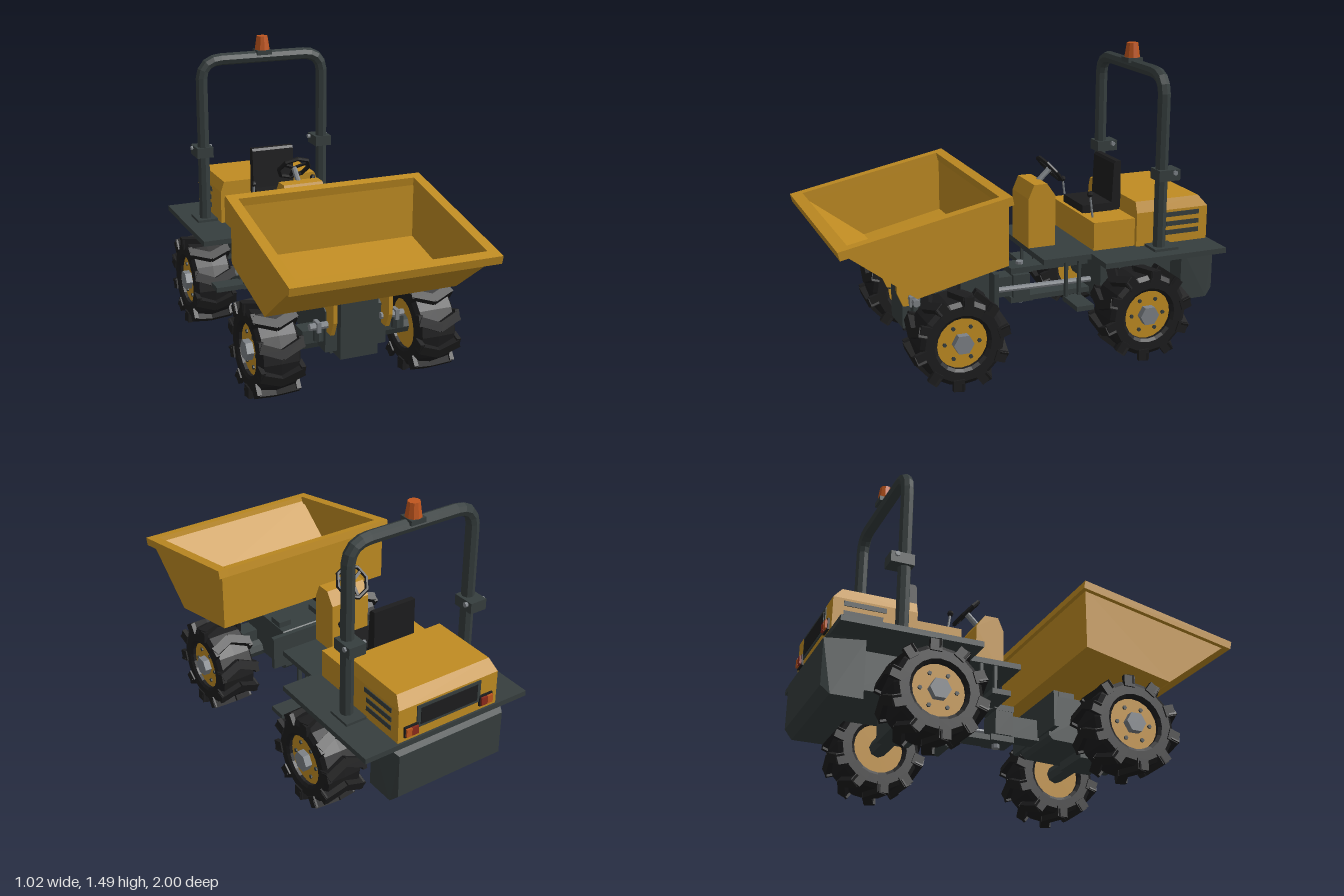
import * as THREE from 'three';

const mat = (name, color) => {
  const m = new THREE.MeshStandardMaterial({ color });
  m.name = name;
  return m;
};

export function createModel() {
  const model = new THREE.Group();
  model.name = 'siteDumper';
  const yellow = mat('yellowPaint', 0xc08c22);
  const metal = mat('darkMetal', 0x363e3e);
  const black = mat('blackRubber', 0x1d1d1e);
  const steel = mat('greySteel', 0x7c8186);
  const orange = mat('orangeBeacon', 0xc0561e);
  const red = mat('redLight', 0x8c2a1c);

  const add = (name, geo, m, parent = model) => {
    const mesh = new THREE.Mesh(geo, m);
    mesh.name = name;
    parent.add(mesh);
    return mesh;
  };
  const flat = (g) => {
    const f = g.index ? g.toNonIndexed() : g;
    f.computeVertexNormals();
    return f;
  };
  // Box given by its limits on each axis
  const box = (name, m, x0, x1, y0, y1, z0, z1) => {
    const mesh = add(name, new THREE.BoxGeometry(Math.abs(x1 - x0), y1 - y0, Math.abs(z1 - z0)), m);
    mesh.position.set((x0 + x1) / 2, (y0 + y1) / 2, (z0 + z1) / 2);
    return mesh;
  };
  // Side profile of [z, y] points extruded across x
  const profile = (name, m, pts, width, x = 0, rule) => {
    const shape = new THREE.Shape(pts.map((p) => new THREE.Vector2(...p)));
    const g = new THREE.ExtrudeGeometry(shape, { depth: width, bevelEnabled: false });
    g.translate(0, 0, -width / 2).rotateY(-Math.PI / 2);
    if (rule) {
      const p = g.attributes.position;
      for (let i = 0; i < p.count; i++) p.setX(i, rule(p.getX(i), p.getY(i), p.getZ(i)));
    }
    const mesh = add(name, flat(g), m);
    mesh.position.x = x;
    return mesh;
  };
  // Straight rod between two points
  const rod = (name, m, a, b, r, sides = 8) => {
    const A = new THREE.Vector3(...a), B = new THREE.Vector3(...b);
    const d = B.clone().sub(A);
    const mesh = add(name, flat(new THREE.CylinderGeometry(r, r, d.length(), sides)), m);
    mesh.position.copy(A).add(B).multiplyScalar(0.5);
    mesh.quaternion.setFromUnitVectors(new THREE.Vector3(0, 1, 0), d.normalize());
    return mesh;
  };
  const sides = [-1, 1];

  // Wheels: tyre, chevron lugs, rim, hub and bolts, axle along x
  const tyreProfile = [[0.125, -0.09], [0.14, -0.1], [0.185, -0.1], [0.206, -0.085], [0.21, 0],
    [0.206, 0.085], [0.185, 0.1], [0.14, 0.1], [0.125, 0.09], [0.12, 0], [0.125, -0.09]];
  const tyreGeo = flat(new THREE.LatheGeometry(tyreProfile.map((p) => new THREE.Vector2(...p)), 20)
    .rotateZ(Math.PI / 2));
  const disc = (r, w, n) => flat(new THREE.CylinderGeometry(r, r, w, n).rotateZ(Math.PI / 2));
  const rimGeo = disc(0.126, 0.15, 24), hubGeo = disc(0.05, 0.04, 6), boltGeo = disc(0.01, 0.012, 6);
  const lugGeo = new THREE.BoxGeometry(0.118, 0.044, 0.045);
  const shoulderGeo = new THREE.BoxGeometry(0.022, 0.055, 0.055);
  const wheel = (s, z) => {
    const w = new THREE.Group();
    w.name = 'wheel';
    w.position.set(s * 0.4, 0.235, z);
    w.scale.x = 1;
    model.add(w);
    add('tyre', tyreGeo, black, w);
    add('rim', rimGeo, yellow, w);
    add('hub', hubGeo, steel, w).position.x = s * 0.09;
    for (let i = 0; i < 6; i++) {
      const a = (i * Math.PI) / 3;
      add('wheelBolt', boltGeo, metal, w).position.set(s * 0.077, 0.085 * Math.sin(a), 0.085 * Math.cos(a));
    }
    for (let i = 0; i < 10; i++) {
      const ring = new THREE.Group();
      ring.name = 'treadLug';
      ring.rotation.x = (i * Math.PI) / 5;
      w.add(ring);
      for (const t of sides) {
        const lug = add('lugBar', lugGeo, black, ring);
        lug.position.set(t * 0.049, 0.21, 0.02 - 0.021);
        lug.rotation.y = t * 0.4;
        add('lugShoulder', shoulderGeo, black, ring).position.set(t * 0.097, 0.2, -0.025);
      }
    }
  };
  for (const z of [0.43, -0.53]) {
    for (const s of sides) wheel(s, z);
    rod('axle', metal, [-0.34, 0.235, z], [0.34, 0.235, z], 0.045);
    box('axleHousing', metal, -0.11, 0.11, 0.18, 0.31, z - 0.08, z + 0.08);
  }

  // Skip: folded floor, two sides and a sloping rim
  profile('skipShell', yellow, [[0.2, 0.885], [0.2, 0.58], [0.64, 0.48], [0.965, 0.725],
    [0.945, 0.74], [0.635, 0.505], [0.22, 0.598], [0.22, 0.885]], 0.95);
  for (const s of sides) {
    profile('skipSide', yellow, [[0.2, 0.885], [0.2, 0.58], [0.64, 0.48], [0.965, 0.725]], 0.02, s * 0.472);
    profile('skipSideRim', yellow, [[1, 0.75], [0.19, 0.915], [0.182, 0.875], [0.99, 0.71]], 0.05, s * 0.48);
    profile('skipBracket', yellow, [[0.64, 0.485], [0.5, 0.515], [0.5, 0.44], [0.56, 0.32], [0.61, 0.32],
      [0.64, 0.39]], 0.02, s * 0.14);
  }
  profile('skipFrontRim', yellow, [[1, 0.75], [0.945, 0.761], [0.935, 0.721], [0.99, 0.71]], 0.91);
  profile('skipBackRim', yellow, [[0.235, 0.906], [0.19, 0.915], [0.182, 0.875], [0.227, 0.866]], 0.91);

  // Front chassis with tipping pivots
  profile('frontChassis', metal, [[0.16, 0.25], [0.18, 0.23], [0.56, 0.215], [0.56, 0.42], [0.5, 0.455],
    [0.18, 0.455], [0.16, 0.435]], 0.31);
  box('frontNose', metal, -0.095, 0.095, 0.185, 0.475, 0.4, 0.6);
  box('frontChassisPlate', metal, -0.23, 0.23, 0.27, 0.45, 0.15, 0.175);
  for (const s of sides) {
    box('skipRest', metal, s * 0.08, s * 0.15, 0.45, 0.485, 0.22, 0.3);
    rod('tipPin', steel, [s * 0.12, 0.36, 0.57], [s * 0.24, 0.36, 0.57], 0.018);
    box('pinCollar', steel, s * 0.19, s * 0.21, 0.335, 0.385, 0.545, 0.595);
    rod('pinBolt', metal, [s * 0.2, 0.29, 0.57], [s * 0.2, 0.345, 0.57], 0.02, 6);
    box('pivotArm', metal, s * 0.15, s * 0.26, 0.265, 0.33, 0.45, 0.54);
  }

  // Articulated joint
  box('jointTube', metal, -0.047, 0.047, 0.255, 0.36, 0, 0.16);
  box('jointBlock', metal, -0.07, 0.07, 0.25, 0.37, -0.08, 0.01);
  for (const y of [0.22, 0.375]) {
    box('jointPlate', metal, -0.06, 0.06, y, y + 0.03, -0.1, 0.02);
    box('jointBeam', metal, -0.05, 0.05, y, y + 0.027, -0.42, -0.08);
  }
  rod('jointPin', steel, [0, 0.2, -0.05], [0, 0.42, -0.05], 0.02);
  rod('steeringRam', steel, [0.1, 0.31, -0.4], [0.08, 0.31, 0.16], 0.015);

  // Rear chassis, deck and counterweight
  box('rearChassis', metal, -0.2, 0.2, 0.3, 0.49, -0.83, -0.41);
  box('frontDeck', metal, -0.3, 0.3, 0.49, 0.517, -0.32, -0.055);
  box('rearDeck', metal, -0.46, 0.46, 0.49, 0.517, -0.975, -0.31);
  profile('counterweight', metal, [[-0.81, 0.49], [-0.97, 0.49], [-1, 0.475], [-1, 0.25], [-0.96, 0.21],
    [-0.81, 0.21]], 0.62, 0, (x, y, z) => (z < -0.99 ? x * 0.95 : x));

  // Access steps
  for (const s of sides) {
    box('step', metal, s * 0.27, s * 0.44, 0.285, 0.31, -0.26, -0.17);
    for (const z of [-0.25, -0.18]) box('stepPost', metal, s * 0.275, s * 0.295, 0.28, 0.495, z - 0.007, z + 0.007);
  }

  // Engine hood with vents, grille and tail lights
  box('seatBase', yellow, -0.26, 0.26, 0.515, 0.66, -0.57, -0.34);
  box('hood', yellow, -0.28, 0.28, 0.515, 0.69, -0.965, -0.565);
  profile('hoodTop', yellow, [[-0.565, 0.69], [-0.565, 0.745], [-0.92, 0.745], [-0.965, 0.69]], 0.56, 0,
    (x, y) => (y > 0.7 ? x * 0.93 : x));
  box('grilleFrame', metal, -0.18, 0.18, 0.565, 0.68, -0.97, -0.964);
  box('grille', black, -0.16, 0.16, 0.58, 0.665, -0.973, -0.968);
  for (const s of sides) {
    [[0.665, -0.715], [0.617, -0.73], [0.572, -0.73]].forEach(([y, z]) =>
      box('sideVent', metal, s * 0.278, s * 0.284, y - 0.012, y + 0.012, -0.915, z));
    box('tailLightHousing', black, s * 0.175, s * 0.25, 0.54, 0.595, -0.975, -0.962);
    box('brakeLight', red, s * 0.18, s * 0.213, 0.547, 0.588, -0.985, -0.972);
    box('turnLight', orange, s * 0.215, s * 0.245, 0.547, 0.588, -0.985, -0.972);
  }

  // Console, steering wheel and levers
  profile('console', yellow, [[-0.055, 0.515], [-0.055, 0.77], [-0.085, 0.84], [-0.155, 0.84], [-0.2, 0.775],
    [-0.2, 0.515]], 0.21);
  rod('steeringColumn', steel, [0, 0.82, -0.14], [0, 0.888, -0.212], 0.015);
  const steer = add('steeringWheel', flat(new THREE.TorusGeometry(0.082, 0.011, 6, 8)), black);
  steer.position.set(0, 0.888, -0.212);
  steer.rotation.x = 0.73;
  for (let i = 0; i < 3; i++) {
    const spoke = add('steeringSpoke', new THREE.BoxGeometry(0.014, 0.08, 0.01).translate(0, 0.04, 0), black, steer);
    spoke.rotation.z = Math.PI + (i * Math.PI * 2) / 3;
  }
  for (const s of sides) {
    rod('lever', steel, [s * 0.165, 0.65, -0.378], [s * 0.165, 0.78, -0.36], 0.006, 6);
    add('leverKnob', flat(new THREE.SphereGeometry(0.016, 6, 4)), black).position.set(s * 0.165, 0.78, -0.36);
  }

  // Seat
  box('seatCushion', black, -0.115, 0.115, 0.67, 0.71, -0.55, -0.345);
  box('seatMount', black, -0.09, 0.09, 0.655, 0.675, -0.53, -0.37);
  profile('seatBack', black, [[-0.505, 0.69], [-0.515, 0.91], [-0.525, 0.922], [-0.553, 0.922], [-0.555, 0.68]], 0.23);

  // Roll bar, hinge brackets, feet and beacon
  const v = (x, y) => new THREE.Vector3(x, y, -0.66);
  const path = new THREE.CurvePath();
  path.add(new THREE.LineCurve3(v(-0.34, 0.515), v(-0.34, 1.28)));
  path.add(new THREE.QuadraticBezierCurve3(v(-0.34, 1.28), v(-0.34, 1.387), v(-0.23, 1.387)));
  path.add(new THREE.LineCurve3(v(-0.23, 1.387), v(0.23, 1.387)));
  path.add(new THREE.QuadraticBezierCurve3(v(0.23, 1.387), v(0.34, 1.387), v(0.34, 1.28)));
  path.add(new THREE.LineCurve3(v(0.34, 1.28), v(0.34, 0.515)));
  add('rollBar', flat(new THREE.TubeGeometry(path, 60, 0.032, 8, false)), metal);
  for (const s of sides) {
    box('rollBarHinge', metal, s * 0.295, s * 0.385, 0.87, 0.925, -0.74, -0.625);
    rod('hingePin', steel, [s * 0.28, 0.91, -0.71], [s * 0.395, 0.91, -0.71], 0.012);
    box('rollBarFoot', metal, s * 0.285, s * 0.395, 0.515, 0.53, -0.74, -0.61);
  }
  box('beaconMount', metal, -0.04, 0.04, 1.4, 1.424, -0.7, -0.62);
  add('beacon', flat(new THREE.CylinderGeometry(0.029, 0.04, 0.075, 10)), orange).position.set(0, 1.459, -0.66);

  return model;
}
